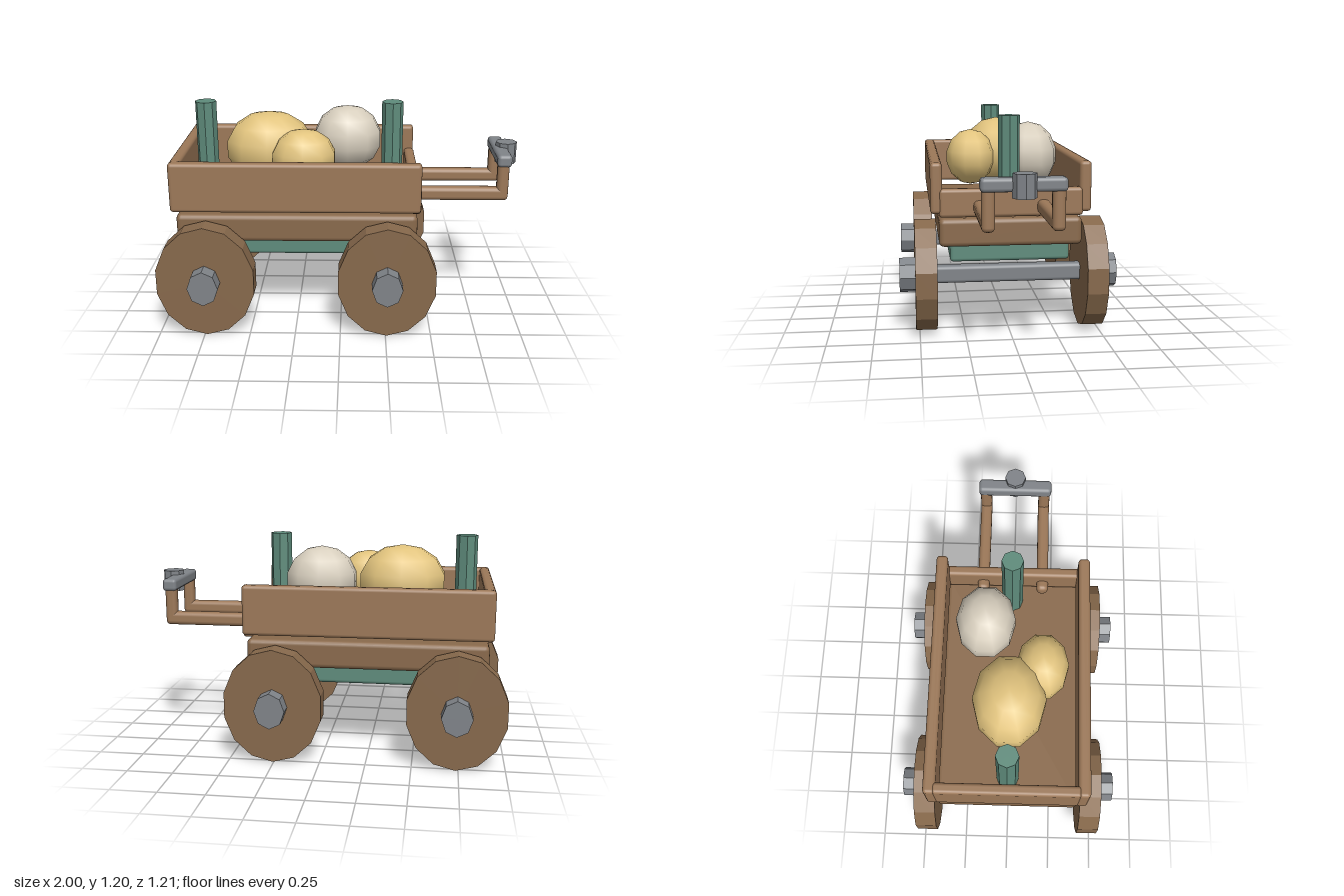
import * as THREE from 'three';
import { RoundedBoxGeometry } from 'three/addons/geometries/RoundedBoxGeometry.js';

const paint = (color, flatShading = false) => new THREE.MeshStandardMaterial({ color, flatShading });

export function createModel() {
  const cart = new THREE.Group();
  cart.name = 'cart';

  const plank = paint(0x9c7858);
  const bedWood = paint(0x8a6a4c);
  const wheelWood = paint(0x87694c, true);
  const green = paint(0x5f8c7c);
  const greenFlat = paint(0x5f8c7c, true);
  const iron = paint(0x808489);
  const ironFlat = paint(0x808489, true);
  const straw = paint(0xe2c47e);
  const pale = paint(0xd8cfbe);

  const add = (name, geometry, material, x, y, z) => {
    const mesh = new THREE.Mesh(geometry, material);
    mesh.name = name;
    mesh.position.set(x, y, z);
    cart.add(mesh);
    return mesh;
  };

  // Rounded box given by its limits along x, y and z
  const box = (name, material, [x0, x1], [y0, y1], [z0, z1], radius = 0.02) =>
    add(name, new RoundedBoxGeometry(x1 - x0, y1 - y0, z1 - z0, 2, radius), material,
      (x0 + x1) / 2, (y0 + y1) / 2, (z0 + z1) / 2);

  // Slightly oval disc lying across the cart, with a corner at the top
  const disc = (name, material, sides, rx, ry, width, x, y, z) => {
    const geometry = new THREE.CylinderGeometry(1, 1, width, sides);
    geometry.rotateX(Math.PI / 2);
    geometry.scale(rx, ry, 1);
    return add(name, geometry, material, x, y, z);
  };

  // Chassis and bed
  box('chassis', green, [-0.84, 0.36], [0.405, 0.53], [-0.33, 0.33]);
  box('bed', bedWood, [-0.9, 0.42], [0.5, 0.655], [-0.39, 0.39], 0.028);

  // Walls, with a lower board at the handle end
  for (const side of [1, -1]) {
    const z = side > 0 ? [0.37, 0.435] : [-0.435, -0.37];
    box('sideWall', plank, [-0.92, 0.433], [0.685, 0.96], z);
  }
  box('tailBoard', plank, [-0.92, -0.86], [0.685, 0.96], [-0.39, 0.39]);
  box('frontBoard', plank, [0.378, 0.438], [0.665, 0.82], [-0.39, 0.39]);

  // Upright posts
  for (const x of [-0.77, 0.288]) {
    add('post', new THREE.CylinderGeometry(0.06, 0.06, 0.65, 8), greenFlat, x, 0.875, 0);
  }

  // Axles, wheels and hubs
  for (const x of [-0.735, 0.255]) {
    box('axle', iron, [x - 0.04, x + 0.04], [0.268, 0.365], [-0.42, 0.42]);
    for (const side of [1, -1]) {
      disc('wheel', wheelWood, 14, 0.272, 0.315, 0.117, x, 0.315, side * 0.4625);
      disc('hub', ironFlat, 8, 0.083, 0.098, 0.1, x, 0.315, side * 0.557);
    }
  }

  // Push handle
  for (const z of [0.172, -0.172]) {
    const span = [z - 0.033, z + 0.033];
    box('handleArm', plank, [0.325, 0.935], [0.68, 0.757], span, 0.025);
    box('handleUpright', plank, [0.869, 0.935], [0.68, 0.91], span, 0.025);
  }
  box('handleBar', iron, [0.864, 0.945], [0.877, 0.947], [-0.212, 0.212]);
  add('handleKnob', new THREE.CylinderGeometry(0.06, 0.06, 0.12, 8), ironFlat, 0.94, 0.91, 0);

  // Round cargo
  const ball = (name, material, x, y, z, rx, ry, rz) => {
    const geometry = new THREE.SphereGeometry(1, 10, 7);
    geometry.rotateY(Math.PI / 10);
    geometry.scale(rx, ry, rz);
    add(name, geometry, material, x, y, z);
  };
  ball('largeBale', straw, -0.412, 0.935, 0, 0.255, 0.207, 0.203);
  ball('smallBale', straw, -0.207, 0.92, 0.175, 0.184, 0.165, 0.146);
  ball('paleSack', pale, 0.033, 0.955, -0.14, 0.203, 0.19, 0.167);

  return cart;
}
